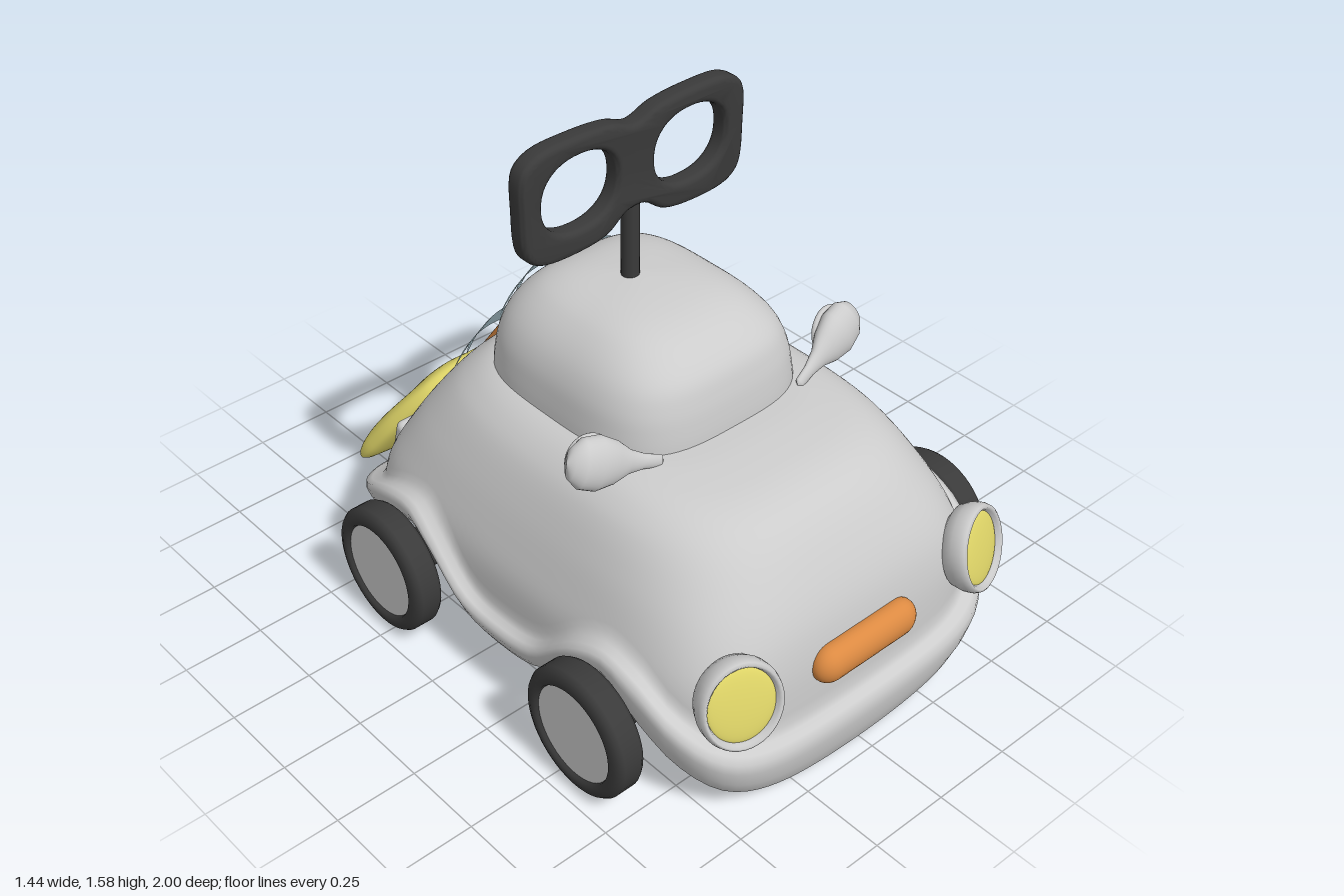
import * as THREE from 'three';
import { toCreasedNormals } from 'three/addons/utils/BufferGeometryUtils.js';
import { RoundedBoxGeometry } from 'three/addons/geometries/RoundedBoxGeometry.js';

const mat = (color, side = THREE.FrontSide) => new THREE.MeshStandardMaterial({ color, side });
const grey = mat(0xcccccc), dark = mat(0x3a3a3a), yellow = mat(0xe0d668), orange = mat(0xdc8a42);
const blue = mat(0xb9d6e0, THREE.DoubleSide), red = mat(0x7c0a14);
const { lerp, smoothstep, clamp } = THREE.MathUtils;

function part(name, geo, material, parent) {
  const m = new THREE.Mesh(geo, material);
  m.name = name;
  parent.add(m);
  return m;
}

// Smooth lookup in a table of [key, value...] rows with rising keys
function sample(table, key, col = 1) {
  const n = table.length;
  const k = clamp(key, table[0][0], table[n - 1][0]);
  let i = 0;
  while (i < n - 2 && k > table[i + 1][0]) i++;
  const slope = j => {
    const a = table[Math.max(j - 1, 0)], b = table[Math.min(j + 1, n - 1)];
    return (b[col] - a[col]) / (b[0] - a[0]);
  };
  const a = table[i], b = table[i + 1], h = b[0] - a[0], t = (k - a[0]) / h;
  const t2 = t * t, t3 = t2 * t;
  return a[col] * (2 * t3 - 3 * t2 + 1) + b[col] * (3 * t2 - 2 * t3)
    + h * (slope(i) * (t3 - 2 * t2 + t) + slope(i + 1) * (t3 - t2));
}

// Point on a rounded-square outline
function ring(front, back, w, n, phi) {
  const c = Math.cos(phi), s = Math.sin(phi);
  const r = 1 / Math.pow(Math.abs(c) ** n + Math.abs(s) ** n, 1 / n);
  return [w * r * c, (front + back) / 2 + (front - back) / 2 * r * s];
}

// Closed loops, listed top to bottom: rowAt(i, phi) gives [x, y, z]
function loft(rows, seg, rowAt) {
  const pos = [], idx = [];
  for (let i = 0; i < rows; i++)
    for (let j = 0; j < seg; j++) pos.push(...rowAt(i, j / seg * Math.PI * 2));
  for (let i = 0; i < rows - 1; i++)
    for (let j = 0; j < seg; j++) {
      const a = i * seg + j, b = i * seg + (j + 1) % seg, c = a + seg, d = b + seg;
      idx.push(a, b, c, b, d, c);
    }
  const g = new THREE.BufferGeometry();
  g.setAttribute('position', new THREE.Float32BufferAttribute(pos, 3));
  g.setIndex(idx);
  g.computeVertexNormals();
  return g;
}

// Body outline by height: y, front z, back z, half width
const BODY = [[.1, .94, -.63, .59], [.3, .935, -.618, .59], [.4, .925, -.59, .583], [.5, .9, -.545, .552],
  [.6, .85, -.495, .513], [.7, .775, -.43, .46], [.75, .7, -.38, .41], [.775, .6, -.34, .365], [.787, .46, -.3, .32]];
// Heights along z of the fender crease, the lower edge and the underside
const CREASE = [[-.67, .23], [-.55, .28], [-.4, .4], [-.28, .435], [-.15, .38], [0, .27], [.13, .25],
  [.3, .28], [.45, .4], [.58, .44], [.7, .4], [.8, .31], [.92, .21], [1, .18]];
const EDGE = [[-.67, .05], [-.55, .12], [-.42, .25], [-.28, .34], [-.12, .27], [0, .17], [.13, .15],
  [.3, .18], [.42, .28], [.58, .34], [.7, .22], [.8, .1], [.9, .02], [1, 0]];
const UNDER = [[-.67, .05], [-.45, .17], [-.28, .24], [-.1, .12], [.13, .05], [.4, .11], [.58, .24],
  [.7, .17], [.85, .03], [1, 0]];

function bodyGeometry() {
  const upper = 24, under = 14;
  // Fender rows: mix from crease (0) to edge (1), outward offset
  const flare = [[0, .01], [.05, .032], [.14, .046], [.35, .046], [.65, .034], [.92, .018], [1, .004]];
  return loft(1 + upper + flare.length + under, 144, (i, phi) => {
    if (i === 0) return [0, .787, .08];
    // Both bumpers sweep up towards their corners
    const [x0, z0] = ring(.96, -.65, .6, 5, phi);
    const sweep = x0 * x0 * smoothstep(Math.abs(z0 - .15), .45, .75);
    const crease = sample(CREASE, z0) + .12 * sweep, edge = sample(EDGE, z0) + .28 * sweep;
    const at = (y, o) => {
      const [x, z] = ring(sample(BODY, y, 1) + o, sample(BODY, y, 2) - o, sample(BODY, y, 3) + o,
        lerp(5, 3.4, smoothstep(y, .35, .78)), phi);
      return [x, y, z];
    };
    i--;
    if (i < upper) return at(lerp(.787, crease + .02, Math.pow(i / (upper - 1), 1.5)), 0);
    i -= upper;
    if (i < flare.length) return at(lerp(crease, edge, flare[i][0]), flare[i][1]);
    const s = 1 - (i - flare.length + 1) / under;
    const [x, , z] = at(edge, 0);
    return [x * s, lerp(edge, sample(UNDER, z), smoothstep((1 - s) * (z > .75 ? 1 : 4), 0, 1)), z];
  });
}

// Cabin outline by height
const CABIN = [[.76, .435, -.33, .35], [.82, .43, -.325, .345], [.9, .415, -.31, .33], [.97, .385, -.28, .295],
  [1.03, .31, -.225, .235], [1.06, .23, -.165, .175], [1.075, .13, -.09, .1], [1.082, .02, .02, 0]];

function keyGeometry() {
  const half = [[.03, 1.3], [.1, 1.255], [.2, 1.24], [.33, 1.252], [.375, 1.29], [.389, 1.42],
    [.381, 1.54], [.33, 1.578], [.2, 1.587], [.08, 1.577]];
  const pts = [...half, [0, 1.552], ...half.map(([x, y]) => [-x, y]).reverse()];
  const curve = new THREE.CatmullRomCurve3(pts.map(p => new THREE.Vector3(p[0], p[1], 0)), true);
  const shape = new THREE.Shape(curve.getPoints(120).slice(0, -1).map(p => new THREE.Vector2(p.x, p.y)));
  for (const s of [-1, 1]) {
    const hole = [];
    for (let k = 0; k < 40; k++) {
      const [x, y] = ring(1.532, 1.312, .128, 2.3, -k / 40 * Math.PI * 2);
      hole.push(new THREE.Vector2(s * .193 + x, y));
    }
    shape.holes.push(new THREE.Path(hole));
  }
  const g = new THREE.ExtrudeGeometry(shape, { depth: .028, bevelSize: .018, bevelOffset: -.018, bevelThickness: .018, bevelSegments: 4 });
  return toCreasedNormals(g.translate(0, 0, -.014), .8);
}

const lathe = (pts, seg = 40) => new THREE.LatheGeometry(pts.map(p => new THREE.Vector2(...p)), seg);

function addWheels(car) {
  const tire = lathe([[.13, -.047], [.17, -.047], [.187, -.04], [.195, -.028], [.195, .028], [.187, .04],
    [.17, .047], [.148, .047], [.142, .03]], 48).rotateZ(-Math.PI / 2);
  const hub = new THREE.CylinderGeometry(.146, .146, .075, 48).rotateZ(-Math.PI / 2);
  for (const z of [.578, -.283]) {
    part('axle', new THREE.CylinderGeometry(.062, .062, 1.3, 28).rotateZ(Math.PI / 2), dark, car).position.set(0, .21, z);
    for (const s of [-1, 1]) {
      const wheel = new THREE.Group();
      wheel.name = 'wheel';
      wheel.position.set(s * .672, .21, z);
      wheel.rotation.y = s > 0 ? 0 : Math.PI;
      part('tire', tire, dark, wheel);
      part('hub', hub, grey, wheel);
      car.add(wheel);
    }
  }
}

function addLampsAndMirrors(car) {
  const pod = lathe([[.1, -.065], [.127, -.045], [.138, -.015], [.139, .01], [.134, .025], [.126, .03], [.118, .023], [.112, .008]])
    .rotateX(Math.PI / 2).scale(.87, .93, 1);
  const lens = new THREE.SphereGeometry(.115, 32, 20).scale(.87, .93, .12);
  const teardrop = lathe([[0, 0], [.018, .01], [.021, .06], [.034, .11], [.06, .155], [.077, .21], [.07, .26], [.045, .29], [0, .303]], 32);
  for (const s of [-1, 1]) {
    const lamp = new THREE.Group();
    lamp.name = 'headlight';
    lamp.position.set(s * .453, .415, .928);
    lamp.rotation.set(-.27, s * .27, 0);
    part('headlightRim', pod, grey, lamp);
    part('headlightLens', lens, yellow, lamp).position.z = .01;
    car.add(lamp);

    const tail = new THREE.Group();
    tail.name = 'tailLight';
    tail.position.set(s * .33, .35, -.603);
    tail.rotation.x = .25;
    part('tailLightRim', new RoundedBoxGeometry(.14, .105, .05, 4, .022), grey, tail);
    part('tailLightLens', new RoundedBoxGeometry(.105, .07, .03, 3, .012), red, tail).position.z = -.016;
    car.add(tail);

    const mirror = new THREE.Group();
    mirror.name = 'mirror';
    mirror.position.set(s * .25, .785, .415);
    mirror.quaternion.setFromUnitVectors(new THREE.Vector3(0, 1, 0), new THREE.Vector3(s * .27, .095, -.06).normalize());
    part('mirrorShell', teardrop, grey, mirror).scale.z = .6;
    const glass = part('mirrorGlass', new THREE.SphereGeometry(.06, 28, 14), blue, mirror);
    glass.position.set(0, .215, -.039);
    glass.scale.z = .12;
    const rim = part('mirrorRim', new THREE.TorusGeometry(.062, .009, 10, 32), grey, mirror);
    rim.position.set(0, .215, -.034);
    car.add(mirror);
  }
}

// Broom taped to the back: local y runs up the handle, local z away from the car
function addBroom(car) {
  const up = new THREE.Vector3(0, .803, .596), out = new THREE.Vector3(0, .596, -.803);
  const broom = new THREE.Group();
  broom.name = 'broom';
  broom.quaternion.setFromRotationMatrix(new THREE.Matrix4().makeBasis(new THREE.Vector3(-1, 0, 0), up, out));
  broom.position.set(0, 1.04, -.23);
  part('handle', new THREE.CapsuleGeometry(.025, .78, 6, 20), orange, broom).position.y = -.4;

  // Bristle fan: t, half width, half thickness
  const fan = [[0, .03, .028], [.08, .11, .036], [.2, .195, .048], [.5, .28, .058], [.8, .325, .058], [.94, .332, .048], [1, .325, .03]];
  part('bristles', loft(26, 96, (i, phi) => {
    const t = clamp((i - 1) / 23, 0, 1), cap = i === 0 || i === 25 ? 0 : 1;
    const depth = sample(fan, t, 2) * cap;
    const [x, z] = ring(depth, -depth, sample(fan, t, 1) * (i === 0 ? 0 : 1), 2.8, phi);
    const wave = -Math.cos(x * Math.PI * 10) * (1 - smoothstep(Math.abs(x), .1, .33));
    return [x, -.755 - .468 * t - .02 * wave * t ** 4, z + .012 * wave * t - .25 * x * x];
  }), yellow, broom);

  // Tape strips with swallowtail ends, bent over the handle
  for (const y of [-.12, -.535]) {
    const g = new THREE.PlaneGeometry(.44, .13, 40, 8), p = g.attributes.position;
    for (let k = 0; k < p.count; k++) {
      const x = p.getX(k), v = p.getY(k) / .065, end = smoothstep(Math.abs(x), .1, .22);
      const nx = x - Math.sign(x) * .06 * end * (1 - Math.abs(v));
      p.setXYZ(k, nx, p.getY(k), .04 - 1.7 * nx * nx);
    }
    g.computeVertexNormals();
    part('tape', g, blue, broom).position.y = y;
  }
  car.add(broom);
}

export function createModel() {
  const car = new THREE.Group();
  car.name = 'toyCar';
  part('body', bodyGeometry(), grey, car);
  part('cabin', loft(30, 96, (i, phi) => {
    const y = lerp(1.082, .76, Math.pow(i / 29, 1.8));
    const [x, z] = ring(sample(CABIN, y, 1), sample(CABIN, y, 2), sample(CABIN, y, 3), 3.4, phi);
    return [x, y, z];
  }), grey, car);
  // Wind-up key
  part('keyShaft', new THREE.CylinderGeometry(.026, .026, .32, 24), dark, car).position.set(-.017, 1.2, .02);
  part('keyHandle', keyGeometry(), dark, car).position.set(-.017, 0, .02);
  // Nose bar
  const nose = part('noseBar', new THREE.CapsuleGeometry(.058, .26, 10, 28).rotateZ(Math.PI / 2), orange, car);
  nose.position.set(0, .358, .937);
  nose.scale.z = .8;
  addLampsAndMirrors(car);
  addWheels(car);
  addBroom(car);
  return car;
}
